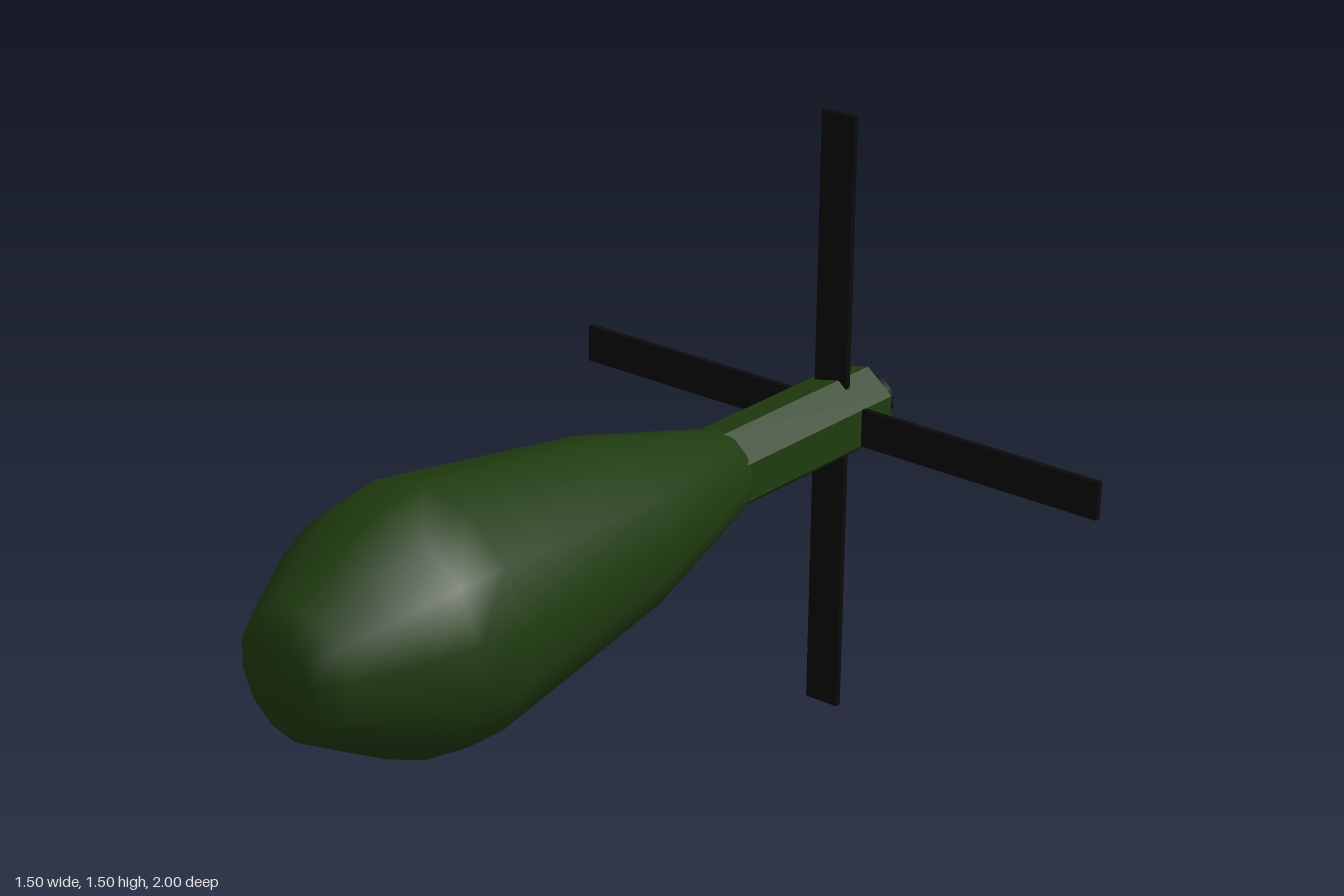
import * as THREE from 'three';

const AXIS_Y = 0.75;
const green = new THREE.MeshStandardMaterial({ color: 0x1f3b10 });
const greenFlat = new THREE.MeshStandardMaterial({ color: 0x1f3b10, flatShading: true });
const black = new THREE.MeshStandardMaterial({ color: 0x0a0a0a });

export function createModel() {
  const model = new THREE.Group();
  model.name = 'propellerBody';

  function add(name, geometry, material, z = 0) {
    const mesh = new THREE.Mesh(geometry, material);
    mesh.name = name;
    mesh.position.set(0, AXIS_Y, z);
    model.add(mesh);
    return mesh;
  }

  // Cylinder lying along z between two z values
  function rod(radius, sides, back, front, start = 0) {
    return new THREE.CylinderGeometry(radius, radius, front - back, sides, 1, false, start)
      .rotateX(Math.PI / 2)
      .translate(0, 0, (front + back) / 2);
  }

  // Teardrop hull: radius and z, from tail to blunt nose
  const profile = [
    [0, -0.4], [0.104, -0.4], [0.212, 0], [0.298, 0.58], [0.28, 0.7],
    [0.24, 0.8], [0.153, 0.955], [0.09, 1], [0, 1],
  ].map(([r, z]) => new THREE.Vector2(r, z));
  const hull = add('hull', new THREE.LatheGeometry(profile, 14).rotateX(Math.PI / 2), green);
  hull.rotation.z = -0.025;

  // Seven-sided tail boom and round end cap
  add('tailBoom', rod(0.105, 7, -0.935, -0.39, -Math.PI / 2), greenFlat);
  add('tailCap', rod(0.055, 14, -1, -0.92), black);

  // Two crossed bars form the four blades
  for (const [name, w, h] of [['horizontalBlades', 1.5, 0.092], ['verticalBlades', 0.092, 1.5]]) {
    add(name, new THREE.BoxGeometry(w, h, 0.015), black, -0.826);
  }
  return model;
}
